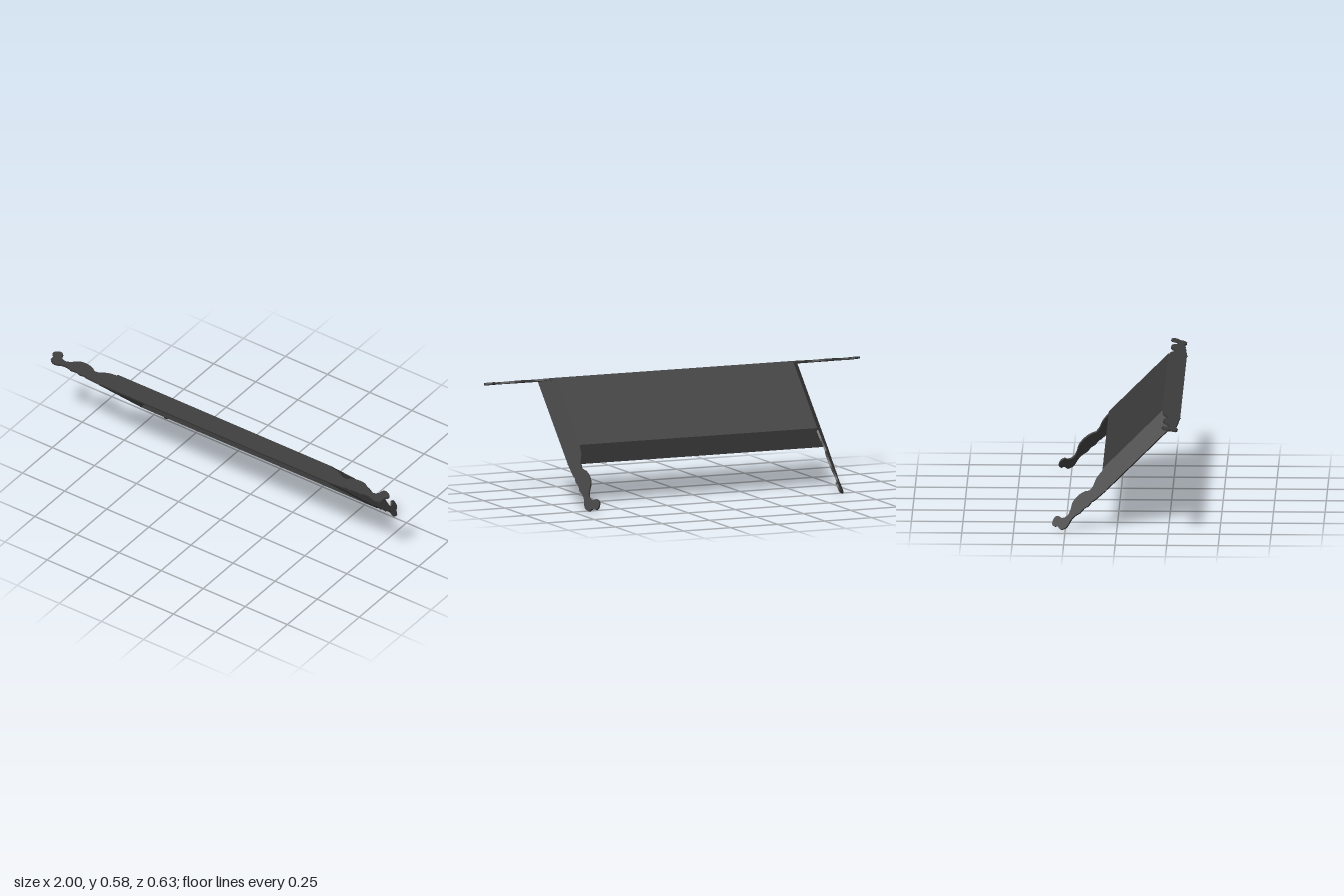
import * as THREE from 'three';

const THICK = 0.01;
const HALF_RIM = 0.69, HALF_BACK = 0.63; // half widths at the open rim and at the back panel
const RIM_LOW = [0.197, -0.057], RIM_TOP = [0.562, 0.308]; // [y, z]
const BACK_LOW = [0.294, -0.07], BACK_TOP = [0.582, 0.218];

// Scrolled bracket end: u runs along the board past the rim corner, w from rim (0) to back edge (1)
const SCROLL = [
  [-0.053, 0.93], [-0.007, 0.86], [0.028, 0.68], [0.046, 0.64], [0.06, 0.64], [0.078, 0.77],
  [0.106, 0.86], [0.134, 0.87], [0.159, 0.82], [0.178, 0.7], [0.189, 0.62], [0.212, 0.5],
  [0.233, 0.5], [0.247, 0.58], [0.254, 0.68], [0.258, 0.83], [0.272, 0.91], [0.29, 0.87],
  [0.307, 0.73], [0.306, 0.57], [0.297, 0.5], [0.292, 0.38], [0.293, 0.27], [0.288, 0.16],
  [0.267, 0.06], [0.244, 0.09], [0.223, 0.17], [0.194, 0.18], [0.177, 0.14], [0.166, 0.1],
  [0.134, 0.13], [0.112, 0.06], [0.087, 0.1], [0.071, 0.05], [0, 0],
];

const material = new THREE.MeshStandardMaterial({ color: 0x3c3c3c });
const centre = new THREE.Vector3(0, 0.4, 0.12); // a point inside the tray

// Outline from the back corner round the scroll to the rim corner
function scrollOutline() {
  const curve = new THREE.SplineCurve(SCROLL.map(([u, w]) => new THREE.Vector2(u, w)));
  return [[HALF_BACK - HALF_RIM, 1], ...curve.getPoints(102).map((p) => [p.x, p.y])];
}

// Thin board: the outline (u, w) is laid on origin + u*U + w*W and thickened towards the inside
function board(name, outline, origin, U, W) {
  const o = new THREE.Vector3(...origin);
  const u = new THREE.Vector3(...U);
  const w = new THREE.Vector3(...W);
  const n = u.clone().cross(w).normalize();
  const inward = n.dot(centre.clone().sub(o)) > 0;
  const shape = new THREE.Shape(outline.map(([a, b]) => new THREE.Vector2(a, b)));
  const geometry = new THREE.ExtrudeGeometry(shape, { depth: THICK, bevelEnabled: false });
  if (!inward) geometry.translate(0, 0, -THICK);
  geometry.applyMatrix4(new THREE.Matrix4().makeBasis(u, w, n).setPosition(o));
  geometry.computeVertexNormals();
  const mesh = new THREE.Mesh(geometry, material);
  mesh.name = name;
  return mesh;
}

export function createModel() {
  const group = new THREE.Group();
  group.name = 'scrolledTray';
  const scroll = scrollOutline();

  // Slanted back panel
  group.add(board('backPanel',
    [[-HALF_BACK, 0], [HALF_BACK, 0], [HALF_BACK, 1], [-HALF_BACK, 1]],
    [0, ...BACK_LOW], [1, 0, 0], [0, BACK_TOP[0] - BACK_LOW[0], BACK_TOP[1] - BACK_LOW[1]]));

  // Bottom board, mitred between the sides
  group.add(board('bottomBoard',
    [[-HALF_RIM, 0], [HALF_RIM, 0], [HALF_BACK, 1], [-HALF_BACK, 1]],
    [0, ...RIM_LOW], [1, 0, 0], [0, BACK_LOW[0] - RIM_LOW[0], BACK_LOW[1] - RIM_LOW[1]]));

  // Top board with a scroll at both ends
  const right = scroll.map(([u, w]) => [u + HALF_RIM, w]);
  const left = right.map(([u, w]) => [-u, w]).reverse();
  group.add(board('topBoard', [...right, ...left],
    [0, ...RIM_TOP], [1, 0, 0], [0, BACK_TOP[0] - RIM_TOP[0], BACK_TOP[1] - RIM_TOP[1]]));

  // Flared side boards running down into scrolled feet
  const d = Math.SQRT1_2;
  for (const s of [1, -1]) {
    group.add(board(s > 0 ? 'leftSideBoard' : 'rightSideBoard',
      [...scroll, [-0.516, 0], [-0.467, 1]],
      [s * HALF_RIM, ...RIM_LOW], [0, -d, -d], [s * (HALF_BACK - HALF_RIM), 0.055, -0.055]));
  }
  return group;
}
